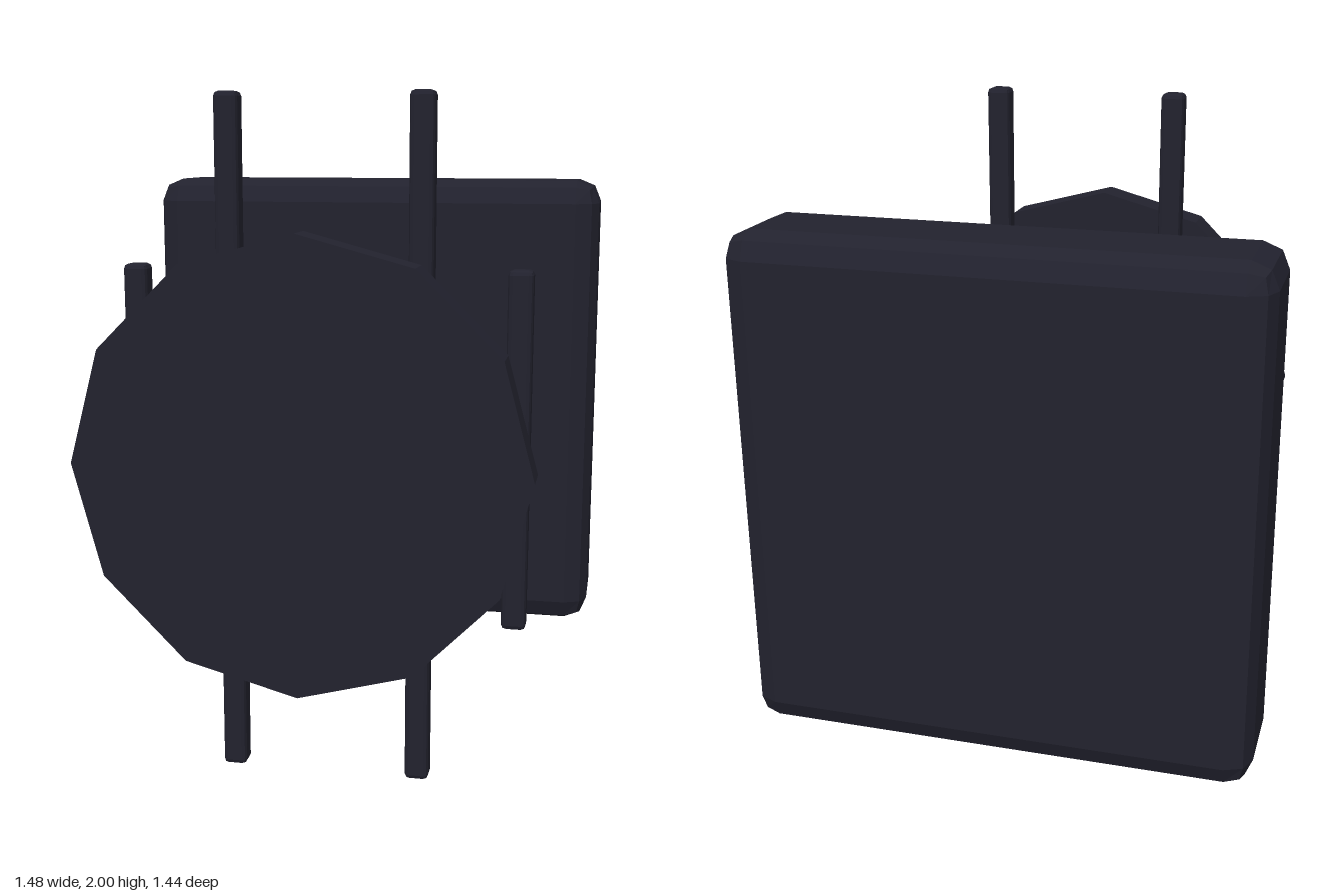
import * as THREE from 'three';
import { RoundedBoxGeometry } from 'three/addons/geometries/RoundedBoxGeometry.js';

const dark = new THREE.MeshStandardMaterial({ color: 0x22222e });
dark.name = 'charcoal';
const pale = new THREE.MeshStandardMaterial({ color: 0xe2dcd0 });
pale.name = 'ivory';

// One normal per face for the faceted low-poly look
function faceted(geometry) {
  const flat = geometry.index ? geometry.toNonIndexed() : geometry;
  flat.computeVertexNormals();
  return flat;
}

export function createModel() {
  const model = new THREE.Group();
  model.name = 'model';

  function add(name, geometry, material, x, y, z) {
    const mesh = new THREE.Mesh(faceted(geometry), material);
    mesh.name = name;
    mesh.position.set(x, y, z);
    model.add(mesh);
  }

  // Twelve-sided disc facing the front
  const disc = (radius, depth) =>
    new THREE.CylinderGeometry(radius, radius, depth, 12).rotateX(Math.PI / 2);

  // Bevelled block at the back with a round collar in front of it
  add('backBlock', new RoundedBoxGeometry(1.476, 1.476, 0.364, 1, 0.073), dark, 0, 1, -0.538);
  add('collar', disc(0.442, 0.188), dark, 0, 1, -0.264);

  // Faceted ball with a corner on the front-back axis
  add('ball', new THREE.SphereGeometry(0.442, 10, 6).rotateY(Math.PI / 2), pale, 0, 1, 0.276);

  // Front disc
  add('frontDisc', disc(0.63, 0.11), dark, 0, 1, 0.665);

  // Two long and two short upright rods
  for (const side of [-1, 1]) {
    const label = side > 0 ? 'left' : 'right';
    add(label + 'LongRod', new RoundedBoxGeometry(0.07, 2, 0.07, 1, 0.014), dark, side * 0.278, 1, 0.35);
    add(label + 'ShortRod', new RoundedBoxGeometry(0.07, 1.03, 0.07, 1, 0.014), dark, side * 0.555, 1, 0.35);
  }

  return model;
}
